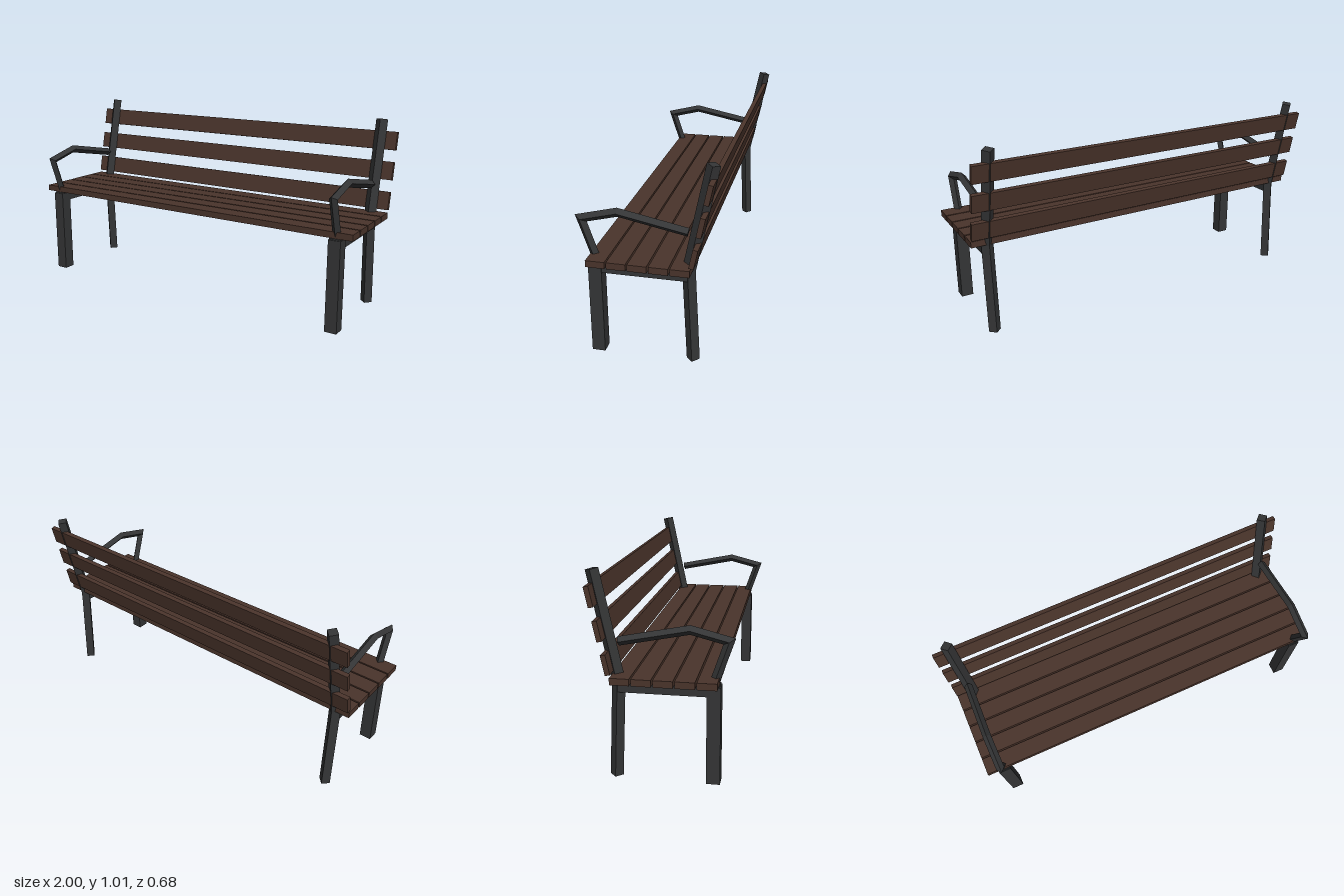
import * as THREE from 'three';

const metal = new THREE.MeshStandardMaterial({ color: 0x343536 });
metal.name = 'dark metal';
const wood = new THREE.MeshStandardMaterial({ color: 0x4a342b });
wood.name = 'brown wood';

function box(name, material, size, position) {
  const mesh = new THREE.Mesh(new THREE.BoxGeometry(...size), material);
  mesh.name = name;
  mesh.position.set(...position);
  return mesh;
}

// Four-sided bar, set on edge, swept along [z, y] points with mitred joints
function diamondBar(name, path, r) {
  const points = path.map(([z, y]) => new THREE.Vector3(0, y, z));
  const directions = points.slice(1).map((p, i) => p.clone().sub(points[i]).normalize());
  const positions = [];
  points.forEach((p, i) => {
    const before = directions[Math.max(i - 1, 0)];
    const after = directions[Math.min(i, directions.length - 1)];
    const t = before.clone().add(after).normalize();
    const h = r / t.dot(after);
    const ny = t.z * h, nz = -t.y * h;
    positions.push(r, p.y, p.z, 0, p.y + ny, p.z + nz, -r, p.y, p.z, 0, p.y - ny, p.z - nz);
  });
  const index = [0, 2, 1, 0, 3, 2];
  for (let s = 0; s < points.length - 1; s++) {
    for (let k = 0; k < 4; k++) {
      const a = s * 4 + k, b = s * 4 + (k + 1) % 4;
      index.push(a, b, b + 4, a, b + 4, a + 4);
    }
  }
  const e = (points.length - 1) * 4;
  index.push(e, e + 1, e + 2, e, e + 2, e + 3);
  const indexed = new THREE.BufferGeometry();
  indexed.setAttribute('position', new THREE.Float32BufferAttribute(positions, 3));
  indexed.setIndex(index);
  const geometry = indexed.toNonIndexed();
  geometry.computeVertexNormals();
  const mesh = new THREE.Mesh(geometry, metal);
  mesh.name = name;
  return mesh;
}

// One end frame: front leg, rail, rear leg with back post, armrest
function endFrame(name, x) {
  const frame = new THREE.Group();
  frame.name = name;
  frame.position.x = x;
  frame.add(
    box('frontLeg', metal, [0.065, 0.48, 0.065], [0, 0.24, 0.251]),
    box('seatRail', metal, [0.058, 0.055, 0.476], [0, 0.4595, 0.04]),
    diamondBar('rearLegAndBackPost', [[-0.217, 0.001], [-0.198, 0.43], [-0.197, 0.485], [-0.306, 1.003]], 0.032),
    diamondBar('armrest', [[0.247, 0.485], [0.317, 0.692], [0.14, 0.737], [-0.194, 0.67]], 0.022),
  );
  return frame;
}

export function createModel() {
  const bench = new THREE.Group();
  bench.name = 'bench';
  bench.add(endFrame('leftFrame', 0.91), endFrame('rightFrame', -0.91));

  // Seat slats, front to back
  for (let i = 0; i < 5; i++) {
    bench.add(box('seatSlat', wood, [2, 0.033, 0.092], [0, 0.504, 0.228 - i * 0.1]));
  }

  // Back slats, leaning with the posts
  for (let i = 0; i < 3; i++) {
    const slat = box('backSlat', wood, [2, 0.097, 0.024], [0, 0.58 + i * 0.156, -0.234 - i * 0.033]);
    slat.rotation.x = -0.209;
    bench.add(slat);
  }
  return bench;
}
